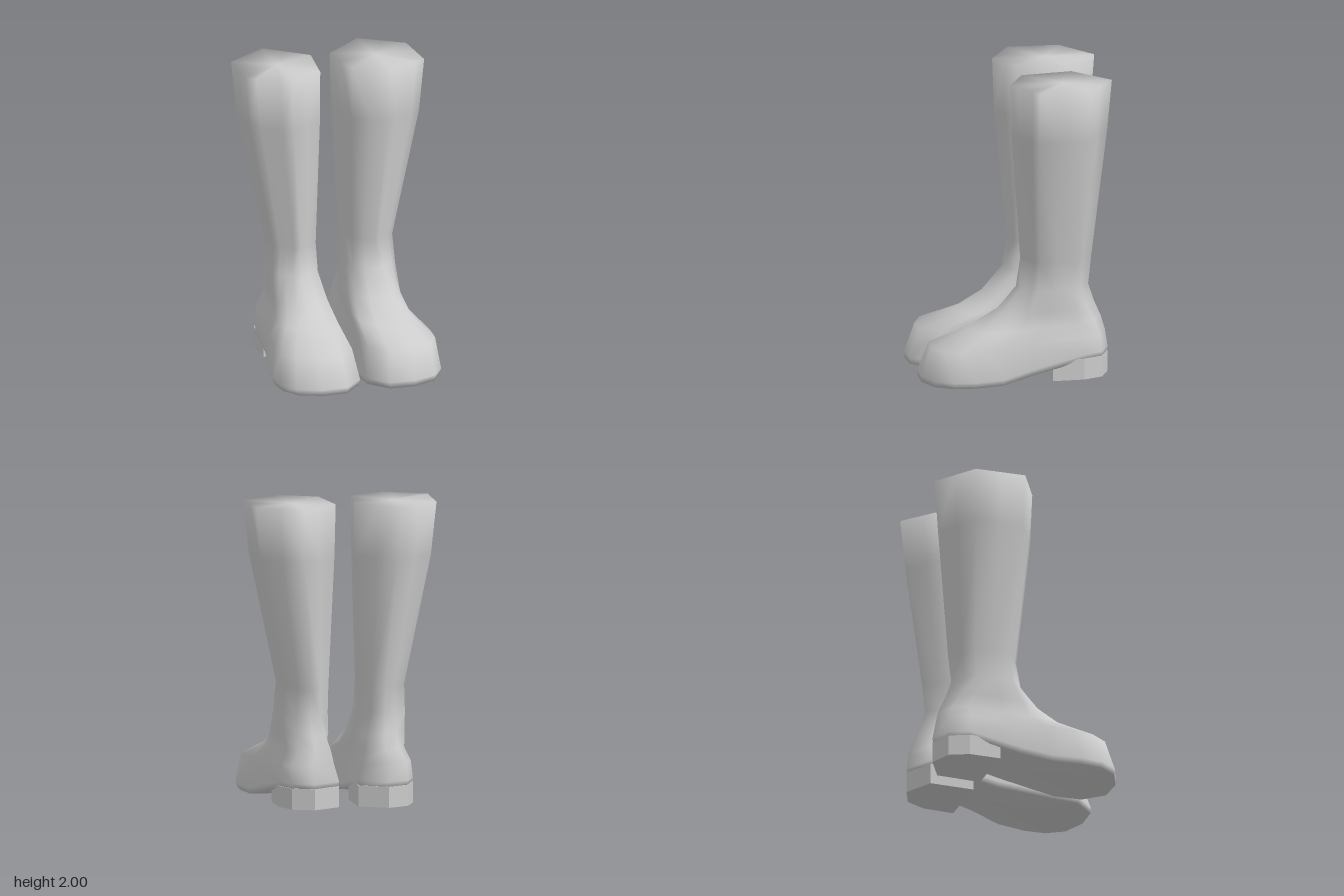
import * as THREE from 'three';

const leather = new THREE.MeshStandardMaterial({ color: 0xcccccc });
leather.name = 'grey leather';

// Outlines run back, outer side, front, inner side, in -1..1 (x outward, z forward).
const hex = [[-0.05, -1], [0.95, -0.44], [1, 0.56], [0, 1], [-0.84, 0.66], [-1, -0.34]];
const splits = [2, 2, 4, 2, 2, 2];
const shaftOutline = [];
hex.forEach((p, i) => {
  const q = hex[(i + 1) % 6];
  for (let k = 0; k < splits[i]; k++) {
    const t = k / splits[i];
    shaftOutline.push([p[0] + (q[0] - p[0]) * t, p[1] + (q[1] - p[1]) * t]);
  }
});

const footOutline = [
  [0.25, -0.62], [0.39, -0.56], [0.45, -0.43], [0.485, -0.08], [0.535, 0.12], [0.565, 0.31], [0.555, 0.455],
  [0.48, 0.57], [0.32, 0.635], [0.145, 0.63], [0.02, 0.5], [0.007, 0.31], [0.05, -0.05], [0.065, -0.52],
].map(([x, z]) => [(x - 0.286) / 0.279, (z - 0.0075) / 0.6275]);

// yFront, yBack, inner x, outer x, front z, back z, blend from shaft to foot outline
const rings = [
  [2, 2, 0.065, 0.62, 0.045, -0.635, 0],
  [1.65, 1.65, 0.07, 0.585, 0.035, -0.605, 0],
  [0.8, 0.78, 0.102, 0.41, -0.035, -0.51, 0],
  [0.61, 0.6, 0.098, 0.425, -0.005, -0.49, 0.1],
  [0.44, 0.48, 0.075, 0.44, 0.14, -0.53, 0.4],
  [0.33, 0.38, 0.058, 0.46, 0.31, -0.575, 0.75],
  [0.23, 0.29, 0.045, 0.54, 0.57, -0.6, 1],
  [null, 0.04, 0.007, 0.565, 0.637, -0.62, 1],
  [null, 0, 0.02, 0.55, 0.635, -0.615, 1],
];

// Underside: flat at the toe, rising through the arch
const soleHeight = (z) => THREE.MathUtils.clamp((0.14 - z) * 0.222, 0, 0.13);

function bootBody(side) {
  const n = shaftOutline.length;
  const pos = [];
  const index = [];
  const tri = (a, b, c) => (side > 0 ? index.push(a, b, c) : index.push(a, c, b));
  for (const [yf, yb, xi, xo, zf, zb, w] of rings) {
    for (let j = 0; j < n; j++) {
      const u = THREE.MathUtils.lerp(shaftOutline[j][0], footOutline[j][0], w);
      const v = THREE.MathUtils.lerp(shaftOutline[j][1], footOutline[j][1], w);
      const x = (xi + xo) / 2 + (u * (xo - xi)) / 2;
      const z = (zf + zb) / 2 + (v * (zf - zb)) / 2;
      const y = yf === null ? soleHeight(z) + yb : yb + ((yf - yb) * (v + 1)) / 2;
      pos.push(side * x, y, z);
    }
  }
  const top = rings.length * n;
  const bottom = top + 1;
  const last = (rings.length - 1) * n;
  pos.push(side * 0.34, 2, -0.3, side * 0.28, 0, 0.14);
  for (let j = 0; j < n; j++) {
    const k = (j + 1) % n;
    for (let r = 0; r < last; r += n) {
      tri(r + j, r + k, r + n + j);
      tri(r + k, r + n + k, r + n + j);
    }
    tri(top, k, j);
    tri(bottom, last + j, last + k);
  }
  const g = new THREE.BufferGeometry();
  g.setAttribute('position', new THREE.Float32BufferAttribute(pos, 3));
  g.setIndex(index);
  g.computeVertexNormals();
  return g;
}

// Low block under the back of the foot
function heelBlock(side) {
  const pts = [[0.455, -0.22], [0.45, -0.43], [0.39, -0.56], [0.25, -0.62], [0.065, -0.52], [0.062, -0.22]];
  const shape = new THREE.Shape(pts.map(([x, z]) => new THREE.Vector2(side * x, -z)));
  const g = new THREE.ExtrudeGeometry(shape, { depth: 0.14, bevelEnabled: false });
  return g.rotateX(-Math.PI / 2);
}

export function createModel() {
  const model = new THREE.Group();
  model.name = 'pairOfBoots';
  for (const side of [1, -1]) {
    const boot = new THREE.Group();
    boot.name = side > 0 ? 'leftBoot' : 'rightBoot';
    const body = new THREE.Mesh(bootBody(side), leather);
    body.name = 'shaftAndFoot';
    const heel = new THREE.Mesh(heelBlock(side), leather);
    heel.name = 'heel';
    boot.add(body, heel);
    model.add(boot);
  }
  return model;
}
